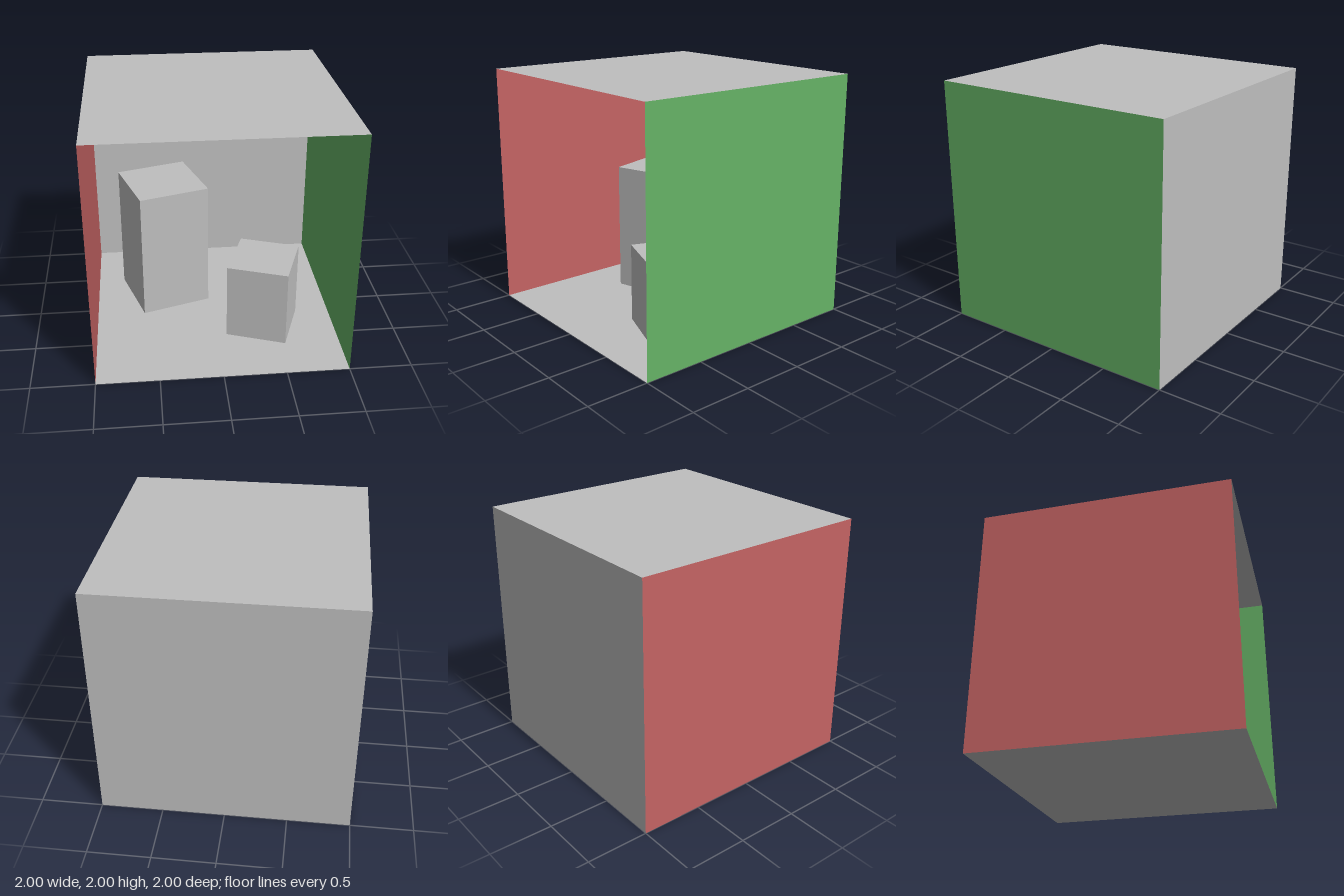
import * as THREE from 'three';

const material = (name, color) => {
  const m = new THREE.MeshStandardMaterial({ color, side: THREE.DoubleSide });
  m.name = name;
  return m;
};

export function createModel() {
  const grey = material('grey', 0xbfbfbf);
  const red = material('red', 0xc56464);
  const green = material('green', 0x66b366);

  const room = new THREE.Group();
  room.name = 'openRoom';

  // Paper-thin room panels, each facing inwards; the front is left open
  const H = Math.PI / 2;
  const panel = (name, mat, position, rotation) => {
    const mesh = new THREE.Mesh(new THREE.PlaneGeometry(2, 2), mat);
    mesh.name = name;
    mesh.position.set(...position);
    mesh.rotation.set(...rotation);
    room.add(mesh);
  };
  panel('floor', grey, [0, 0, 0], [-H, 0, 0]);
  panel('ceiling', grey, [0, 2, 0], [H, 0, 0]);
  panel('backWall', grey, [0, 1, -1], [0, 0, 0]);
  panel('redWall', red, [-1, 1, 0], [0, H, 0]);
  panel('greenWall', green, [1, 1, 0], [0, -H, 0]);

  // Square blocks standing on the floor, turned towards each other
  const block = (name, size, height, x, z, turn) => {
    const mesh = new THREE.Mesh(new THREE.BoxGeometry(size, height, size), grey);
    mesh.name = name;
    mesh.position.set(x, height / 2, z);
    mesh.rotation.y = turn;
    room.add(mesh);
  };
  block('tallBlock', 0.6, 1.1, -0.4, -0.3, 0.3);
  block('shortBlock', 0.5, 0.65, 0.4, 0.3, -0.35);

  return room;
}
